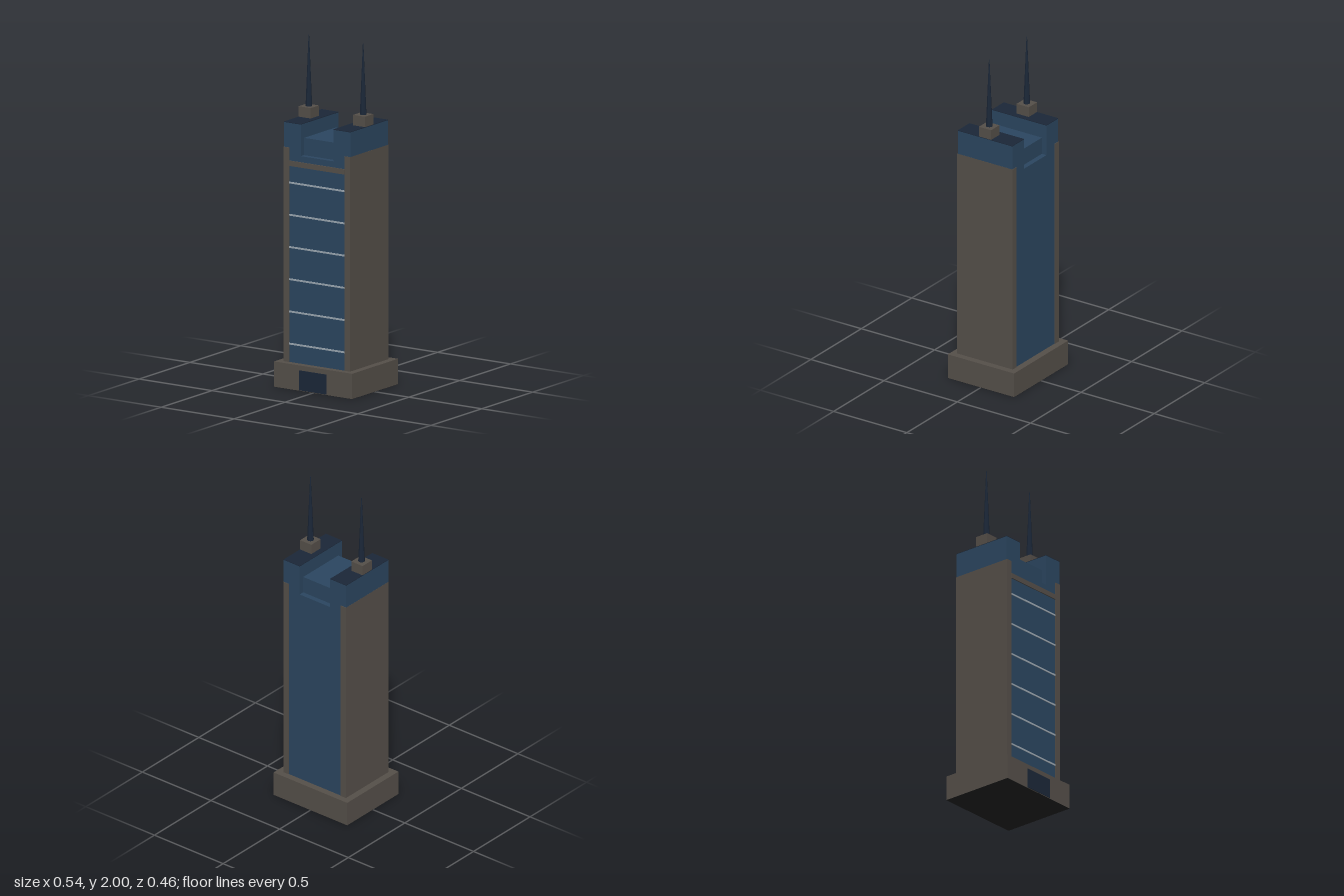
import * as THREE from 'three';

export function createModel() {
  const model = new THREE.Group();
  model.name = 'skyscraper';

  const material = (name, color) => new THREE.MeshStandardMaterial({ name, color });
  const stone = material('grey stone', 0x554f49);
  const glass = material('blue glass', 0x2b4660);
  const navy = material('dark navy', 0x1b2738);
  const trim = material('pale trim', 0x9aa6b0);
  const black = material('black underside', 0x222222);

  // all parts are centred on one depth, as the doorway stands proud of the front
  const Z = -0.0015;
  const add = (name, geometry, mat, x, y, z) => {
    const mesh = new THREE.Mesh(geometry, mat);
    mesh.name = name;
    mesh.position.set(x, y, z + Z);
    model.add(mesh);
  };
  // box given by its width, bottom, top and depth
  const box = (name, mat, w, y0, y1, d, x = 0, z = 0) =>
    add(name, new THREE.BoxGeometry(w, y1 - y0, d), mat, x, (y0 + y1) / 2, z);

  // podium, its underside and the doorway
  box('podium', stone, 0.536, 0.001, 0.147, 0.453);
  box('underside', black, 0.536, 0, 0.001, 0.453);
  box('doorway', navy, 0.188, 0.004, 0.119, 0.004, 0, 0.2275);

  // glass body and the lower block in the crown's notch
  box('glassBody', glass, 0.4, 0.147, 1.345, 0.372);
  box('saddle', glass, 0.222, 1.345, 1.445, 0.31);

  // floor lines and the crossbar on the front
  for (let i = 0; i < 6; i++) {
    const y = 0.253 + i * 0.186;
    box('floorLine', trim, 0.38, y - 0.005, y + 0.005, 0.005, 0, 0.187);
  }
  box('crossbar', stone, 0.38, 1.28, 1.31, 0.006, 0, 0.189);

  for (const s of [-1, 1]) {
    // stone side wall, wrapping round both corners
    box('sideWall', stone, 0.038, 0.147, 1.385, 0.379, s * 0.209);

    // crown shoulder with a dark roof
    box('crownShoulder', glass, 0.1165, 1.345, 1.527, 0.372, s * 0.16925);
    box('shoulderRoof', navy, 0.1165, 1.527, 1.53, 0.372, s * 0.16925);

    // mast on its plinth
    box('mastPlinth', stone, 0.082, 1.53, 1.59, 0.083, s * 0.1865);
    const mast = new THREE.CylinderGeometry(0.002, 0.019, 0.41, 8).toNonIndexed();
    mast.computeVertexNormals();
    add('mast', mast, navy, s * 0.186, 1.795, 0);
  }

  return model;
}
